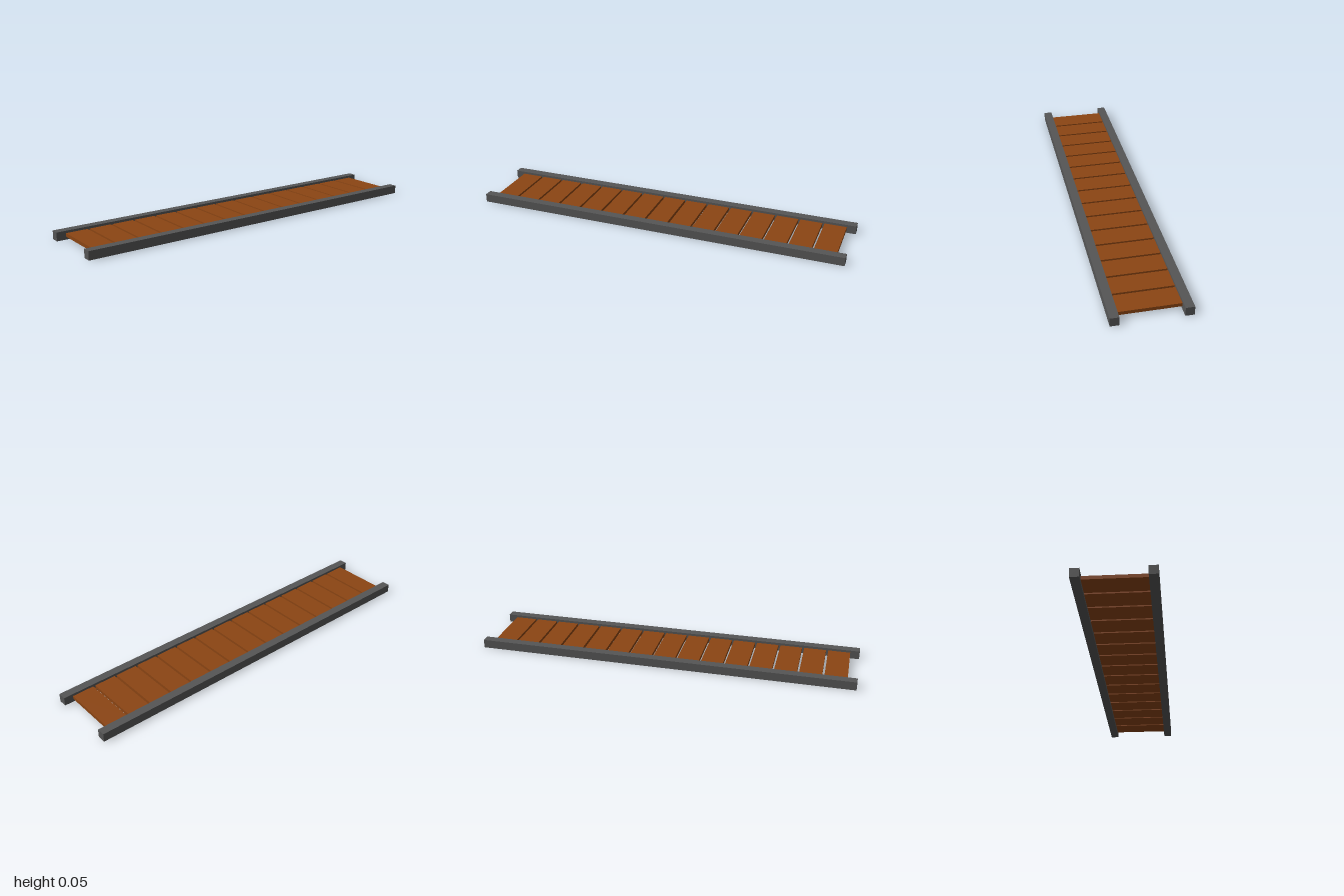
import * as THREE from 'three';

export function createModel() {
  const group = new THREE.Group();
  const metal = new THREE.MeshStandardMaterial({ color: 0x555555 });
  const wood = new THREE.MeshStandardMaterial({ color: 0x8b4513 });

  // Two long side rails resting on the ground
  const railWidth = 0.044, railHeight = 0.045;
  const railGeometry = new THREE.BoxGeometry(railWidth, railHeight, 2);
  for (const [name, side] of [['leftRail', 1], ['rightRail', -1]]) {
    const rail = new THREE.Mesh(railGeometry, metal);
    rail.name = name;
    rail.position.set(side * 0.172, railHeight / 2, 0);
    group.add(rail);
  }

  // Evenly spaced planks spanning between the rails
  const plankCount = 15, pitch = 0.1276;
  const plankGeometry = new THREE.BoxGeometry(0.3, 0.018, 0.116);
  const planks = new THREE.Group();
  planks.name = 'planks';
  for (let i = 0; i < plankCount; i++) {
    const plank = new THREE.Mesh(plankGeometry, wood);
    plank.name = `plank${i + 1}`;
    plank.position.set(0, 0.024, (i - (plankCount - 1) / 2) * pitch);
    planks.add(plank);
  }
  group.add(planks);

  return group;
}
